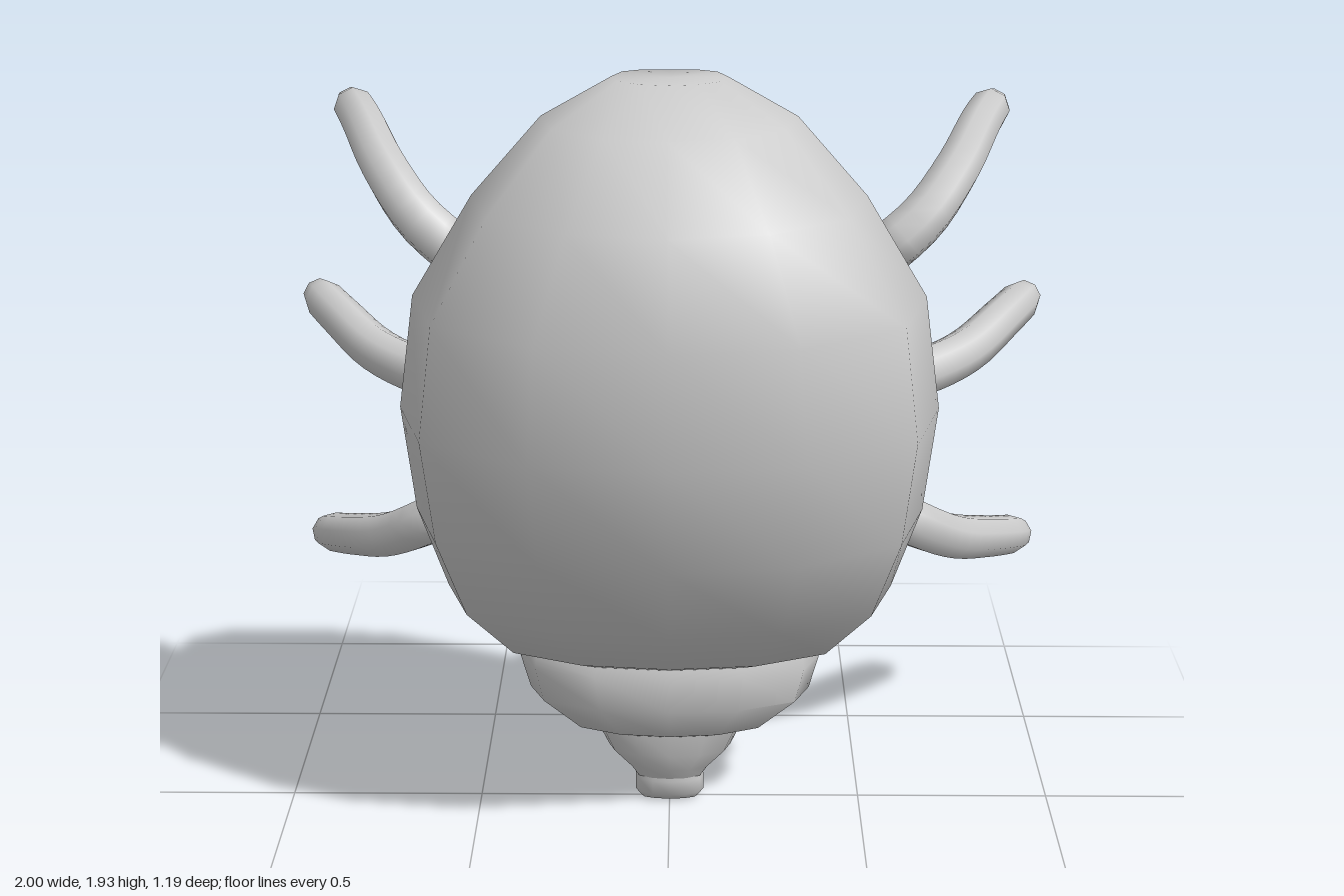
import * as THREE from 'three';
import { toCreasedNormals } from 'three/addons/utils/BufferGeometryUtils.js';

const material = new THREE.MeshStandardMaterial({ color: 0xcccccc });

// Half cross-section from the domed front (z = 1) to the flat back (z = -1)
const half = [[0, 1], [0.49, 0.9], [0.89, 0.56], [1, 0], [0.83, -0.7], [0.49, -1], [0, -1]];
const section = [...half, ...half.slice(1, -1).reverse().map(([x, z]) => [-x, z])];

// Skin a stack of sections, bottom to top: [y, half width, front z, back z]
function loft(name, rings, middle) {
  const n = section.length, pos = [], index = [];
  for (const [y, w, front, back] of rings) {
    const mid = back + (front - back) * middle;
    for (const [x, z] of section) pos.push(x * w, y, mid + z * (z > 0 ? front - mid : mid - back));
  }
  const last = (rings.length - 1) * n;
  for (let i = 0; i < last; i += n) {
    for (let j = 0; j < n; j++) {
      const a = i + j, b = i + (j + 1) % n;
      index.push(a, b, a + n, b, b + n, a + n);
    }
  }
  // End caps
  const bottom = pos.length / 3;
  for (const [y, , front, back] of [rings[0], rings[rings.length - 1]]) pos.push(0, y, (front + back) / 2);
  for (let j = 0; j < n; j++) {
    const k = (j + 1) % n;
    index.push(bottom, k, j, bottom + 1, last + j, last + k);
  }
  const geo = new THREE.BufferGeometry();
  geo.setAttribute('position', new THREE.Float32BufferAttribute(pos, 3));
  geo.setIndex(index);
  const mesh = new THREE.Mesh(toCreasedNormals(geo, 1.0), material);
  mesh.name = name;
  return mesh;
}

// Tapered tube that closes at both ends
function leg(name, points, side) {
  const path = new THREE.CatmullRomCurve3(points.map(([x, y, z]) => new THREE.Vector3(x * side, y, z)));
  const segments = 16, sides = 8;
  const geo = new THREE.TubeGeometry(path, segments, 1, sides);
  const pos = geo.attributes.position, v = new THREE.Vector3();
  for (let i = 0; i <= segments; i++) {
    const t = i / segments, center = path.getPointAt(t);
    let r = 0.068 - 0.016 * t;
    if (i === 0 || i === segments) r = 0;
    else if (i === segments - 1) r *= 0.8;
    for (let j = 0; j <= sides; j++) {
      const k = i * (sides + 1) + j;
      v.fromBufferAttribute(pos, k).sub(center).multiplyScalar(r).add(center);
      pos.setXYZ(k, v.x, v.y, v.z);
    }
  }
  const mesh = new THREE.Mesh(toCreasedNormals(geo, 1.2), material);
  mesh.name = name;
  return mesh;
}

export function createModel() {
  const model = new THREE.Group();
  model.name = 'beetle';

  model.add(loft('shell', [
    [0.43, 0.38, 0.16, -0.16], [0.455, 0.45, 0.21, -0.185], [0.61, 0.57, 0.385, -0.23],
    [0.84, 0.64, 0.525, -0.24], [1.12, 0.67, 0.6, -0.24], [1.41, 0.63, 0.6, -0.225],
    [1.66, 0.48, 0.53, -0.19], [1.85, 0.31, 0.37, -0.12], [1.935, 0.14, 0.14, -0.06],
  ], 0.41));

  model.add(loft('thorax', [
    [0.21, 0.2, 0.09, -0.1], [0.225, 0.26, 0.12, -0.14], [0.31, 0.365, 0.16, -0.18],
    [0.4, 0.39, 0.16, -0.175], [0.44, 0.385, 0.145, -0.16],
  ], 0.5));

  model.add(loft('head', [
    [0.07, 0.09, 0.05, -0.05], [0.1, 0.11, 0.065, -0.065], [0.15, 0.16, 0.085, -0.085],
    [0.23, 0.2, 0.09, -0.1],
  ], 0.5));

  model.add(loft('snout', [
    [0, 0.075, 0.025, -0.03], [0.02, 0.09, 0.045, -0.045], [0.06, 0.09, 0.05, -0.05],
    [0.1, 0.085, 0.045, -0.045],
  ], 0.5));

  // Three legs per side, sweeping outward and back
  const legs = {
    rearLeg: [[0.51, 1.45, -0.07], [0.63, 1.55, -0.1], [0.72, 1.65, -0.2], [0.79, 1.73, -0.36], [0.86, 1.755, -0.59]],
    middleLeg: [[0.52, 1.12, -0.1], [0.65, 1.125, -0.18], [0.77, 1.15, -0.28], [0.88, 1.2, -0.42], [0.98, 1.235, -0.59]],
    frontLeg: [[0.51, 0.79, -0.13], [0.62, 0.73, -0.14], [0.74, 0.65, -0.24], [0.86, 0.59, -0.39], [0.99, 0.525, -0.59]],
  };
  for (const [name, points] of Object.entries(legs)) {
    model.add(leg(name + 'Left', points, 1), leg(name + 'Right', points, -1));
  }
  return model;
}
